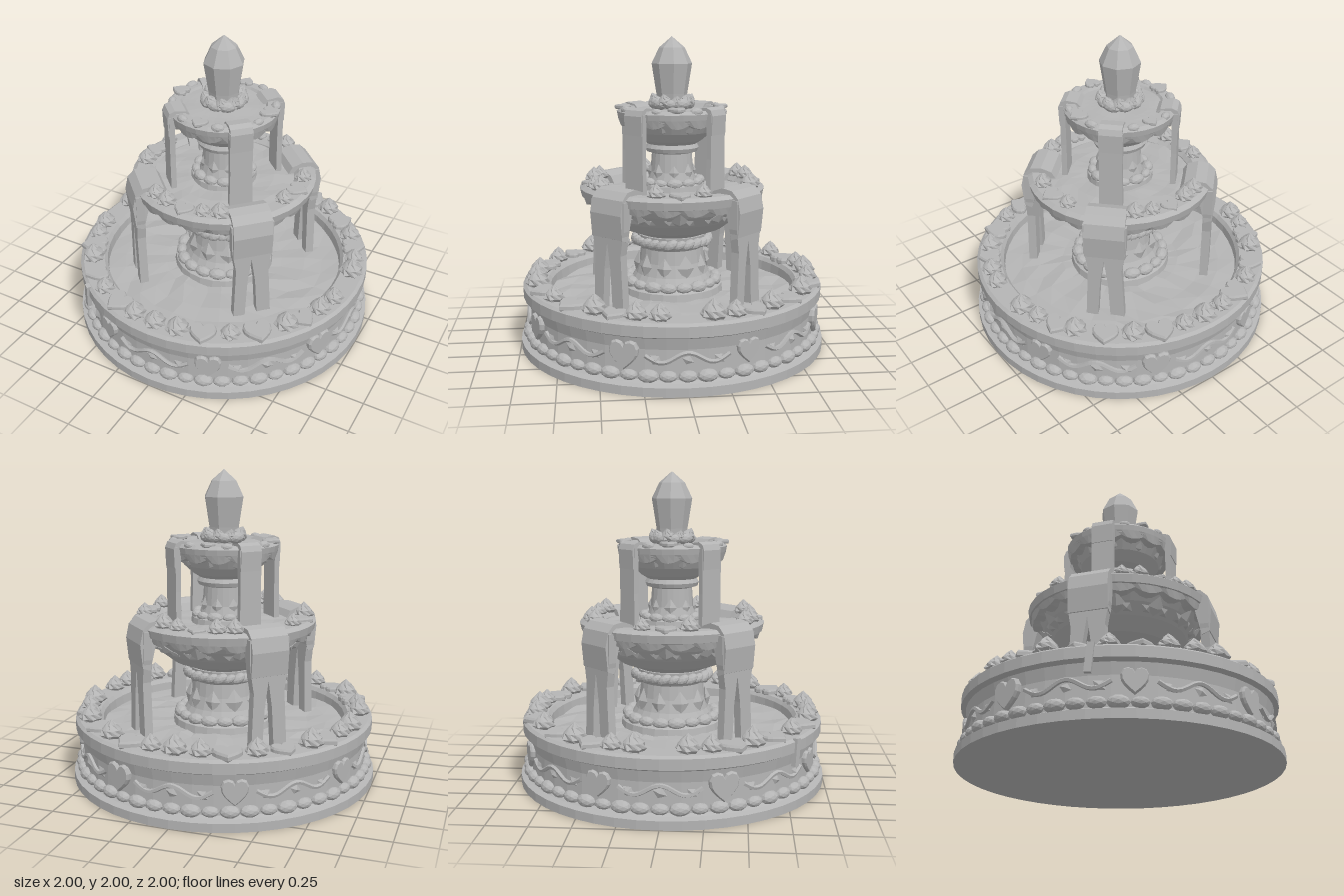
import * as THREE from 'three';

const stone = new THREE.MeshStandardMaterial({ color: 0xb4b4b4, flatShading: true });
stone.name = 'grey stone';
const RAD = Math.PI / 180;

export function createModel() {
  const model = new THREE.Group();
  model.name = 'tieredFountain';

  const add = (name, geo, parent = model) => {
    const mesh = new THREE.Mesh(geo, stone);
    mesh.name = name;
    parent.add(mesh);
    return mesh;
  };
  // Moves every vertex by a rule
  const warp = (geo, rule) => {
    const p = geo.attributes.position, v = new THREE.Vector3();
    for (let i = 0; i < p.count; i++) {
      rule(v.fromBufferAttribute(p, i));
      p.setXYZ(i, v.x, v.y, v.z);
    }
    geo.computeVertexNormals();
    return geo;
  };
  const lathe = (name, pts, sides = 40) =>
    add(name, new THREE.LatheGeometry(pts.map(([x, y]) => new THREE.Vector2(x, y)), sides));
  // Places copies around the axis, angles in degrees from the front
  const ring = (name, geo, angles, r, y, tilt = 0, roll = 0, size = 1) => {
    const group = new THREE.Group();
    group.name = name;
    angles.forEach((a, i) => {
      const m = add(name + 'Piece', geo, group);
      m.position.set(r * Math.sin(a * RAD), y, r * Math.cos(a * RAD));
      m.rotation.set(tilt, a * RAD, roll, 'YXZ');
      m.scale.setScalar(size * (1 + 0.1 * Math.sin(i * 2.4)));
    });
    model.add(group);
    return group;
  };
  const around = (n, start = 0) => Array.from({ length: n }, (_, i) => start + i * 360 / n);

  // Shared ornaments: piped swirl, heart, bead and leaf
  const swirl = warp(new THREE.LatheGeometry(
    [[0.045, 0], [0.068, 0.025], [0.058, 0.055], [0.03, 0.085], [0, 0.115]].map(([x, y]) => new THREE.Vector2(x, y)), 14),
    v => {
      const a = Math.atan2(v.x, v.z), k = 1 + 0.16 * Math.cos(7 * a + v.y * 30), t = v.y * 9;
      const x = v.x * k, z = v.z * k;
      v.x = x * Math.cos(t) - z * Math.sin(t);
      v.z = x * Math.sin(t) + z * Math.cos(t);
    });
  const heartShape = new THREE.Shape();
  heartShape.moveTo(0, -0.075);
  heartShape.bezierCurveTo(-0.04, -0.04, -0.08, -0.01, -0.075, 0.035);
  heartShape.bezierCurveTo(-0.07, 0.085, -0.01, 0.08, 0, 0.04);
  heartShape.bezierCurveTo(0.01, 0.08, 0.07, 0.085, 0.075, 0.035);
  heartShape.bezierCurveTo(0.08, -0.01, 0.04, -0.04, 0, -0.075);
  const heart = new THREE.ExtrudeGeometry(heartShape,
    { depth: 0.02, curveSegments: 4, bevelThickness: 0.012, bevelSize: 0.008, bevelSegments: 1 });
  const bead = new THREE.IcosahedronGeometry(1, 1).scale(0.058, 0.036, 0.04);
  const leaf = new THREE.OctahedronGeometry(1, 0).scale(0.05, 0.07, 0.025);

  // Main basin with base plate, wall and overhanging rim
  lathe('basin', [[0, 0], [1, 0], [1, 0.055], [0.96, 0.065], [0.94, 0.08], [0.935, 0.26], [0.95, 0.33],
    [0.98, 0.345], [0.98, 0.41], [0.96, 0.425], [0.82, 0.425], [0.8, 0.4], [0.79, 0.31], [0, 0.31]], 48);
  const water = (name, r, y, amt) => warp(lathe(name,
    [1, 0.85, 0.7, 0.5, 0.3, 0].map((k, i) => [r * k, y + i * 0.001]), 28).geometry,
    v => { v.y += amt * Math.sin(v.x * 19 + v.z * 7) * Math.cos(v.z * 15 - v.x * 4); });
  water('basinWater', 0.8, 0.345, 0.012);
  ring('baseBeads', bead, around(52), 0.945, 0.105);
  ring('wallHearts', heart, around(8, 22.5), 0.93, 0.225);

  // Waving garlands between the wall hearts
  for (let k = 0; k < 8; k++) {
    const pts = [];
    for (let i = 0; i <= 12; i++) {
      const a = (k * 45 - 15 + i * 2.5) * RAD, y = 0.215 + 0.03 * Math.cos((i - 6) * 0.85);
      pts.push(new THREE.Vector3(0.945 * Math.sin(a), y, 0.945 * Math.cos(a)));
    }
    add('wallGarland', new THREE.TubeGeometry(new THREE.CatmullRomCurve3(pts), 24, 0.014, 5));
  }
  ring('garlandLeaves', leaf, around(8), 0.94, 0.2, 0, 1.2, 0.6);
  ring('wallLeaves', leaf, around(16, 11.25), 0.94, 0.2, 0, 0.9, 0.6);

  // Swirls and hearts on the basin rim
  const quads = list => [0, 90, 180, 270].flatMap((q, i) => list.map(a => q + (i % 2 ? 90 - a : a)));
  ring('basinRimSwirls', swirl, quads([0, 10, 31, 54, 71, 80]).filter((a, i, all) => all.indexOf(a) === i && a < 360),
    0.89, 0.42);
  ring('basinRimHearts', heart, quads([20, 42, 62]), 0.89, 0.425, -Math.PI / 2);
  const drip = add('rimDrip', new THREE.BoxGeometry(0.04, 0.17, 0.03));
  drip.position.set(-0.585, 0.345, 0.785);
  drip.rotation.set(0, -36 * RAD, -0.1);

  // Lower pedestal with leaves and rope collar
  lathe('lowerPedestal', [[0.34, 0.33], [0.33, 0.39], [0.27, 0.42], [0.24, 0.47], [0.215, 0.55], [0.205, 0.64],
    [0.22, 0.66], [0.23, 0.73], [0, 0.74]], 24);
  ring('pedestalBeads', bead, around(18), 0.29, 0.42);
  ring('pedestalLeaves', leaf, around(10), 0.225, 0.53, -0.12, 0, 1.1);
  ring('lowerRope', bead, around(26), 0.24, 0.69, 0, 0.55, 0.8);

  // Middle bowl
  lathe('middleBowl', [[0, 0.715], [0.2, 0.725], [0.34, 0.78], [0.43, 0.85], [0.49, 0.92], [0.53, 0.975],
    [0.59, 0.99], [0.6, 1.04], [0.57, 1.06], [0.49, 1.06], [0.46, 1.03], [0.45, 0.98], [0, 0.98]], 36);
  water('middleWater', 0.47, 1.025, 0.008);
  // Scalloped icing under a rim
  const scallop = (name, pts, n, cut, drop) => warp(lathe(name, pts, n * 4).geometry, v => {
    if (v.y < cut) v.y -= drop * Math.abs(Math.sin(Math.atan2(v.x, v.z) * n / 2));
  });
  scallop('middleScallops', [[0.5, 0.965], [0.565, 0.97], [0.585, 1.005]], 20, 0.99, 0.03);
  ring('bowlLeaves', leaf, around(12), 0.475, 0.9, 0.85, 0, 1.1);
  ring('bowlSprigs', leaf, around(24, 7.5), 0.465, 0.885, 0.85, 0.9, 0.65);
  ring('middleRimSwirls', swirl, [-26, -14, 14, 26, 74, 106, 154, 166, 194, 206, 254, 286], 0.52, 1.05, 0, 0, 0.82);
  ring('middleRimHearts', heart, around(4), 0.525, 1.055, -Math.PI / 2, 0, 0.75);

  // Upper pedestal
  lathe('upperPedestal', [[0.22, 1.0], [0.21, 1.06], [0.16, 1.08], [0.14, 1.14], [0.13, 1.26], [0.165, 1.27],
    [0.175, 1.295], [0.16, 1.32], [0, 1.33]], 22);
  ring('upperPedestalBeads', bead, around(12), 0.18, 1.075, 0, 0, 0.85);
  ring('upperPedestalLeaves', leaf, around(8), 0.14, 1.14, -0.1, 0, 0.75);

  // Top bowl
  lathe('topBowl', [[0, 1.31], [0.16, 1.32], [0.2, 1.345], [0.26, 1.4], [0.3, 1.465], [0.345, 1.48], [0.355, 1.53],
    [0.335, 1.55], [0.275, 1.55], [0.255, 1.525], [0, 1.525]], 30);
  water('topWater', 0.262, 1.535, 0.004);
  scallop('topScallops', [[0.28, 1.46], [0.335, 1.465], [0.35, 1.495]], 14, 1.48, 0.025);
  ring('topBowlLeaves', leaf, around(10), 0.265, 1.42, 0.8, 0, 0.65);
  ring('topRimHearts', heart, around(4), 0.315, 1.55, -Math.PI / 2, 0, 0.62);
  ring('topRimBeads', bead, [-22, 22, 68, 112, 158, 202, 248, 292], 0.325, 1.545, 0, 0, 0.7);

  // Crystal finial in a collar of swirls
  lathe('crystal', [[0.09, 1.53], [0.1, 1.64], [0.13, 1.83], [0.082, 1.93], [0, 2.0]], 8);
  ring('crystalCollar', bead, around(9), 0.115, 1.575, -0.3, 0, 0.95);
  ring('crystalCollarBuds', swirl, around(9, 20), 0.105, 1.575, 0.4, 0, 0.6);

  // Falling water: a spill over the rim, then a sheet; outline in x,y, drawn facing outward
  const polygon = pts => new THREE.Shape(pts.map(([x, y]) => new THREE.Vector2(x, y)));
  const extrude = (pts, depth) => new THREE.ExtrudeGeometry(polygon(pts), { depth, bevelEnabled: false });
  const fall = (name, sheet, z, depth, spill, width) => {
    const sheetGeo = extrude(sheet, depth).translate(0, 0, z);
    const spillGeo = extrude(spill, width).translate(0, 0, -width / 2).rotateY(-Math.PI / 2);
    for (const a of [45, 135, 225, 315]) {
      const g = new THREE.Group();
      g.name = name;
      g.rotation.y = a * RAD;
      add(name + 'Sheet', sheetGeo, g);
      add(name + 'Spill', spillGeo, g);
      model.add(g);
    }
  };
  fall('lowerFall', [[-0.135, 1.03], [-0.13, 0.85], [-0.105, 0.7], [-0.12, 0.34], [-0.045, 0.34], [-0.03, 0.6],
    [-0.005, 0.77], [0.02, 0.6], [0.035, 0.34], [0.125, 0.34], [0.105, 0.7], [0.13, 0.85], [0.135, 1.03]], 0.56, 0.055,
  [[0.4, 1.02], [0.43, 1.07], [0.5, 1.095], [0.57, 1.085], [0.615, 1.04], [0.635, 0.95], [0.62, 0.8], [0.57, 0.78],
    [0.53, 0.95]], 0.25);
  fall('upperFall', [[-0.075, 1.53], [-0.07, 1.25], [-0.075, 1.02], [0.075, 1.02], [0.07, 1.25], [0.075, 1.53]], 0.335, 0.035,
    [[0.23, 1.53], [0.26, 1.56], [0.33, 1.57], [0.365, 1.555], [0.38, 1.52], [0.375, 1.4], [0.34, 1.4], [0.32, 1.52]], 0.14);

  return model;
}
